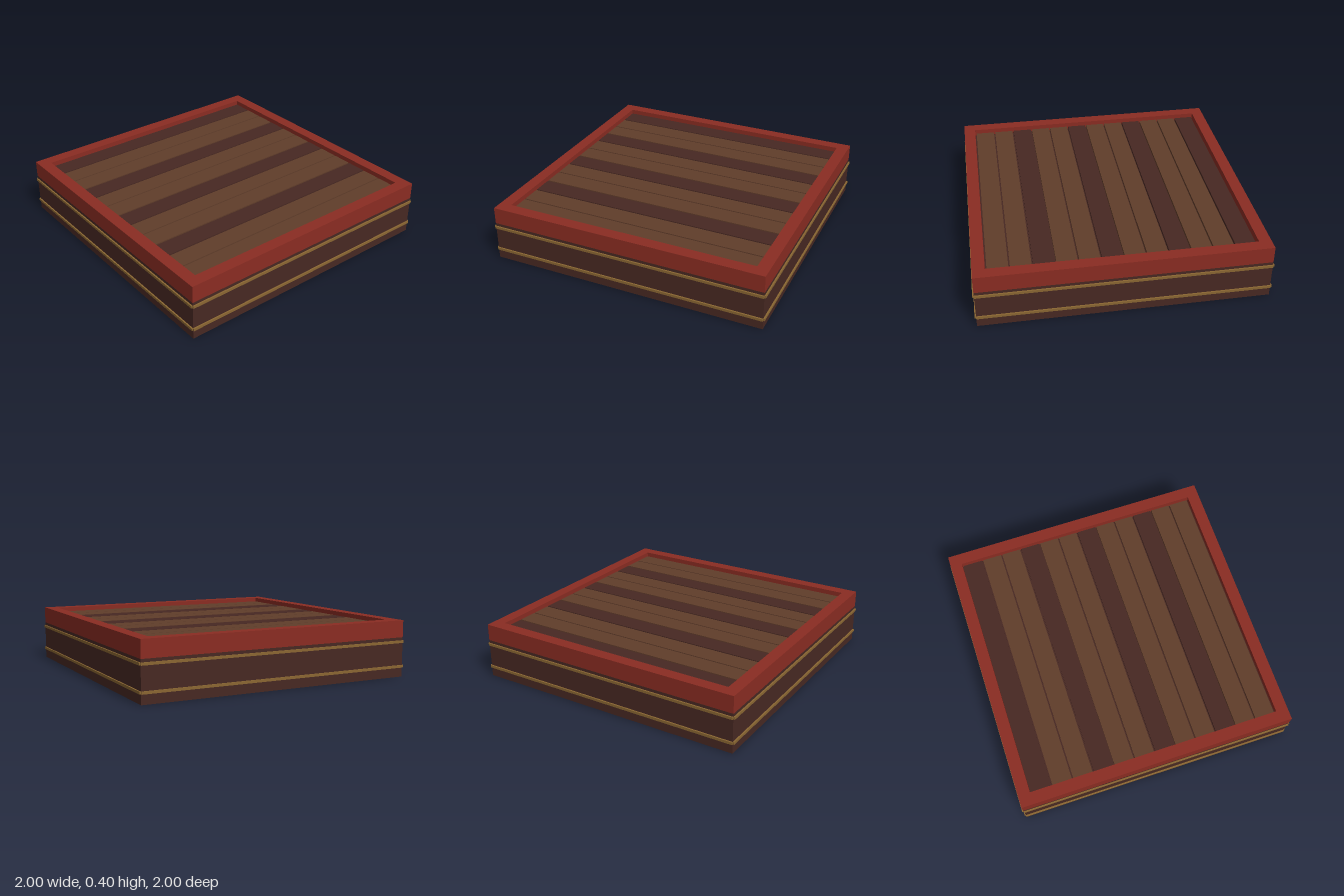
import * as THREE from 'three';

const mat = (color) => new THREE.MeshStandardMaterial({ color });
const red = mat(0x8a2c22);
const darkWood = mat(0x472822);
const lightWood = mat(0x603d2a);
const gold = mat(0x8a6632);

export function createModel() {
  const group = new THREE.Group();
  const box = (name, size, pos, material) => {
    const mesh = new THREE.Mesh(new THREE.BoxGeometry(...size), material);
    mesh.name = name;
    mesh.position.set(...pos);
    group.add(mesh);
    return mesh;
  };

  // Solid base
  box('base', [1.98, 0.28, 1.98], [0, 0.14, 0], darkWood);
  // Bed seen in the gaps between the planks
  box('plankBed', [1.81, 0.07, 1.81], [0, 0.315, 0], darkWood);

  // Raised square rim
  const outer = 0.99, inner = 0.905;
  const square = (path, h) =>
    path.moveTo(-h, -h).lineTo(h, -h).lineTo(h, h).lineTo(-h, h).closePath();
  const shape = square(new THREE.Shape(), outer);
  shape.holes.push(square(new THREE.Path(), inner));
  const rimGeometry = new THREE.ExtrudeGeometry(shape, { depth: 0.12, bevelEnabled: false });
  rimGeometry.rotateX(-Math.PI / 2).translate(0, 0.28, 0);
  const rim = new THREE.Mesh(rimGeometry, red);
  rim.name = 'rim';
  group.add(rim);

  // Floor planks, every third one dark
  const count = 12, pitch = 0.15;
  for (let i = 0; i < count; i++) {
    const x = (i - (count - 1) / 2) * pitch;
    box('plank', [pitch - 0.01, 0.05, 1.8], [x, 0.345, 0], i % 3 === 0 ? darkWood : lightWood);
  }

  // Two bands of trim on all four sides
  for (const y of [0.075, 0.25]) {
    for (const s of [-1, 1]) {
      box('trimStrip', [1.98, 0.018, 0.02], [0, y, s * 0.99], gold);
      box('trimStrip', [0.02, 0.018, 1.98], [s * 0.99, y, 0], gold);
    }
  }
  return group;
}
